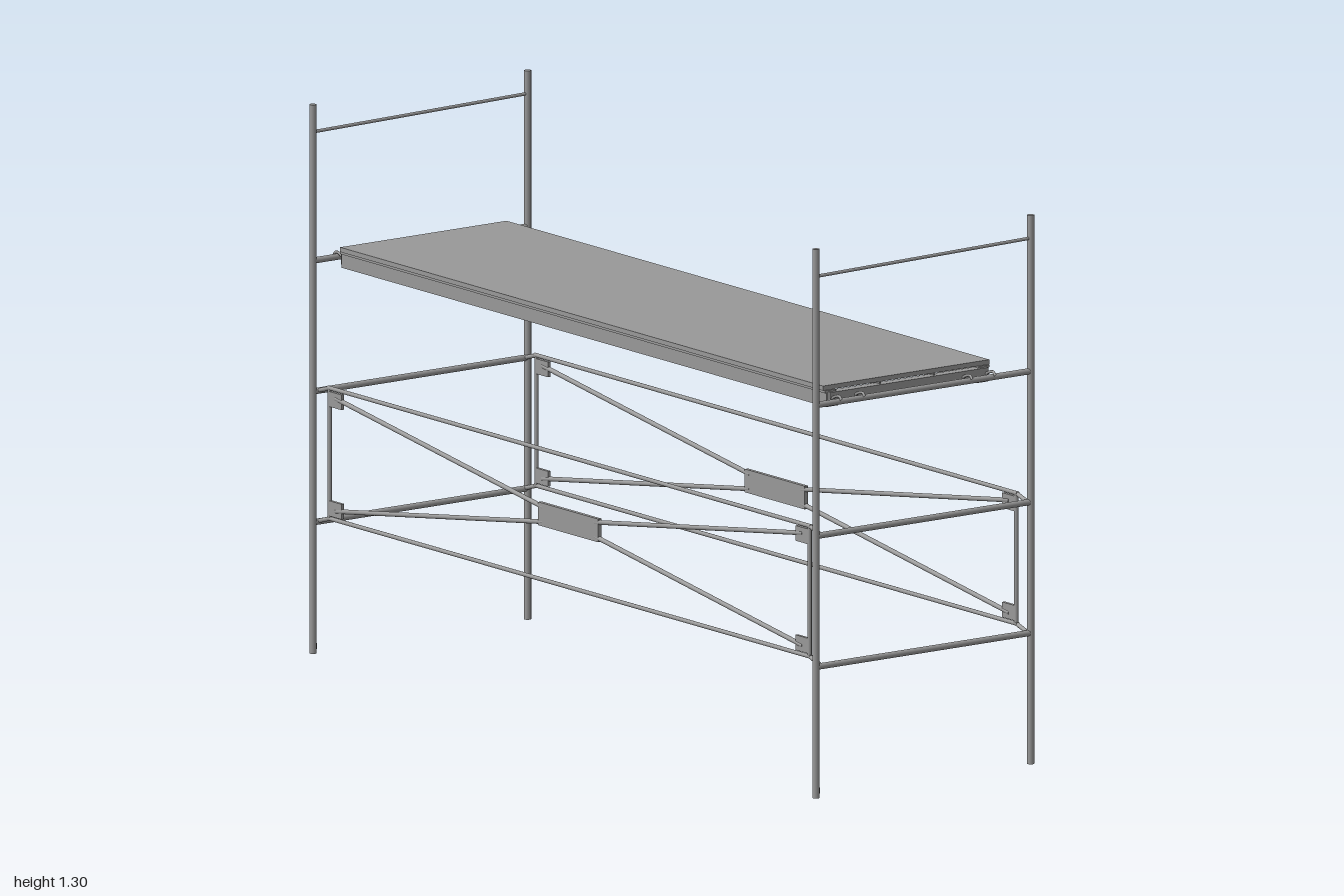
import * as THREE from 'three';

const steel = new THREE.MeshStandardMaterial({ color: 0x999999 });
steel.name = 'galvanised grey';

const V = (x, y, z) => new THREE.Vector3(x, y, z);

function add(parent, name, geometry) {
  const mesh = new THREE.Mesh(geometry, steel);
  mesh.name = name;
  parent.add(mesh);
  return mesh;
}

// round tube between two points
function tube(parent, name, a, b, r) {
  const mesh = add(parent, name, new THREE.CylinderGeometry(r, r, a.distanceTo(b), 12));
  mesh.position.copy(a).add(b).multiplyScalar(0.5);
  mesh.quaternion.setFromUnitVectors(V(0, 1, 0), b.clone().sub(a).normalize());
  return mesh;
}

// box given by its limits on each axis
function box(parent, name, x0, x1, y0, y1, z0, z1) {
  const mesh = add(parent, name, new THREE.BoxGeometry(x1 - x0, y1 - y0, z1 - z0));
  mesh.position.set((x0 + x1) / 2, (y0 + y1) / 2, (z0 + z1) / 2);
  return mesh;
}

const LEFT = 0.986, RIGHT = -0.964, FRONT = 0.323, BACK = -0.296, MID = 0.011;

// ladder-like frame at one end
function endFrame(x) {
  const g = new THREE.Group();
  g.name = 'endFrame';
  for (const z of [FRONT, BACK]) {
    tube(g, 'post', V(x, 0, z), V(x, 1.3, z), 0.0085);
    // diagonal foot fin
    const s = new THREE.Shape([[0, 0], [0.05, 0], [0.05, 0.013], [0.012, 0.03], [0, 0.03]]
      .map(p => new THREE.Vector2(...p)));
    const fin = add(g, 'footFin', new THREE.ExtrudeGeometry(s, { depth: 0.004, bevelEnabled: false }).translate(0, 0, -0.002));
    fin.position.set(x, 0, z);
    fin.rotation.y = Math.PI * 0.75;
  }
  for (const y of [0.31, 0.62, 0.93]) tube(g, 'rung', V(x, y, FRONT), V(x, y, BACK), 0.0075);
  tube(g, 'guardRung', V(x, 1.235, FRONT), V(x, 1.245, BACK), 0.004);
  return g;
}

// cross-braced guard panel along one long side
function bracePanel(z) {
  const g = new THREE.Group();
  g.name = 'bracePanel';
  const yLow = 0.325, yHigh = 0.634;
  for (const y of [yLow, yHigh]) tube(g, 'rail', V(-0.925, y, z), V(0.947, y, z), 0.005);
  for (const s of [-1, 1]) {
    const at = d => MID + s * d;
    tube(g, 'upright', V(at(0.93), yLow, z), V(at(0.93), yHigh, z), 0.005);
    for (const [y, up] of [[yLow, 1], [yHigh, -1]]) {
      // corner plate, diagonal and end hook
      const p = [at(0.927), at(0.88)].sort((a, b) => a - b);
      const q = [y + up * 0.007, y + up * 0.043].sort((a, b) => a - b);
      box(g, 'cornerPlate', p[0], p[1], q[0], q[1], z - 0.004, z + 0.004);
      tube(g, 'diagonal', V(at(0.905), y + up * 0.021, z), V(at(0.1), 0.48 - up * 0.017, z), 0.0055);
      tube(g, 'railEnd', V(at(0.93), y, z), V(at(0.97), y - 0.012, z), 0.005);
    }
  }
  box(g, 'centrePlate', MID - 0.116, MID + 0.116, 0.453, 0.508, z - 0.005, z + 0.005);
  return g;
}

// deck with folded side rails, stiffeners and hooks
function deck() {
  const g = new THREE.Group();
  g.name = 'deck';
  const x0 = -0.925, x1 = 0.947, zc = 0.034;
  box(g, 'deckBoard', x0, x1, 0.951, 0.962, zc - 0.24, zc + 0.24);
  for (const s of [-1, 1]) {
    const strip = (name, y0, y1, a, b) => {
      const z = [zc + s * a, zc + s * b].sort((m, n) => m - n);
      box(g, name, x0 - 0.004, x1 + 0.004, y0, y1, z[0], z[1]);
    };
    strip('railWeb', 0.912, 0.947, 0.228, 0.233);
    strip('railTopFlange', 0.945, 0.951, 0.205, 0.237);
    strip('railBottomFlange', 0.912, 0.916, 0.2, 0.233);
    strip('deckRib', 0.942, 0.951, 0.075, 0.08);

    // end channel and hooks over the rung
    const ex = s > 0 ? x1 : x0;
    box(g, 'endBeam', ex - 0.012, ex + 0.012, 0.917, 0.947, zc - 0.228, zc + 0.228);
    const rungX = s > 0 ? LEFT : RIGHT;
    for (const d of [-0.222, -0.155, 0.155, 0.222]) {
      const path = new THREE.CatmullRomCurve3([
        V(ex, 0.925, zc + d), V(rungX - s * 0.018, 0.938, zc + d),
        V(rungX, 0.942, zc + d), V(rungX + s * 0.009, 0.934, zc + d)]);
      add(g, 'hook', new THREE.TubeGeometry(path, 10, 0.0035, 6));
    }
  }
  // cross members below the board
  for (const x of [MID - 0.3, MID + 0.3]) box(g, 'crossMember', x - 0.02, x + 0.02, 0.916, 0.934, zc - 0.228, zc + 0.228);
  return g;
}

export function createModel() {
  const model = new THREE.Group();
  model.name = 'scaffold';
  model.add(endFrame(LEFT), endFrame(RIGHT), bracePanel(0.308), bracePanel(-0.288), deck());
  return model;
}
